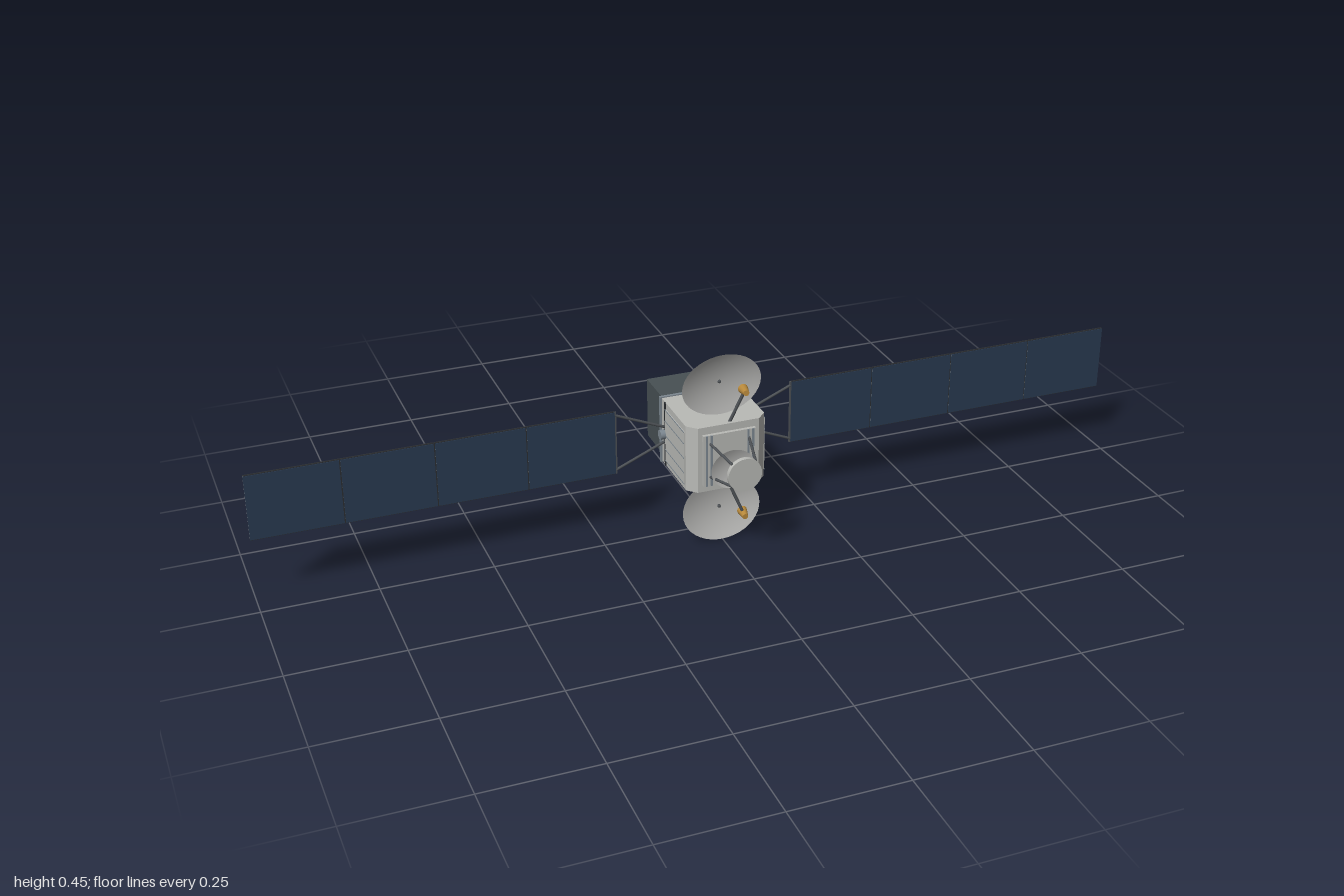
import * as THREE from 'three';

const CY = 0.225; // height of the long axis

function mat(name, color, side = THREE.FrontSide) {
  const m = new THREE.MeshStandardMaterial({ color, side });
  m.name = name;
  return m;
}

export function createModel() {
  const M = {
    hull: mat('hull grey', 0xb9bab6),
    dish: mat('dish grey', 0xb4b4b2, THREE.DoubleSide),
    dark: mat('dark insulation', 0x475053),
    strut: mat('strut grey', 0x4c5054),
    steel: mat('blue steel', 0x7c8790, THREE.DoubleSide),
    cell: mat('solar cell navy', 0x293a50),
    back: mat('panel back grey', 0x747c84),
    seam: mat('seam dark', 0x2a2d30),
    gold: mat('gold', 0xb98a3c),
  };
  const root = new THREE.Group();
  root.name = 'satellite';

  const add = (name, geo, m, x = 0, y = 0, z = 0, parent = root) => {
    const mesh = new THREE.Mesh(geo, m);
    mesh.name = name;
    mesh.position.set(x, y, z);
    parent.add(mesh);
    return mesh;
  };
  const box = (name, m, w, h, d, x, y, z, parent) =>
    add(name, new THREE.BoxGeometry(w, h, d), m, x, y, z, parent);
  // Round bar between two points; r2 is the radius at the second point
  const bar = (name, m, a, b, r = 0.003, r2 = r, parent = root) => {
    const A = new THREE.Vector3(...a), B = new THREE.Vector3(...b);
    const dir = B.clone().sub(A);
    const mesh = add(name, new THREE.CylinderGeometry(r2, r, dir.length(), 12), m, 0, 0, 0, parent);
    mesh.position.copy(A).add(B).multiplyScalar(0.5);
    mesh.quaternion.setFromUnitVectors(new THREE.Vector3(0, 1, 0), dir.normalize());
    return mesh;
  };
  // Shallow oval bowl opening towards +z
  const bowl = (name, rx, ry, depth, x, y, z, tilt) => {
    const pts = [];
    for (let i = 0; i <= 8; i++) pts.push(new THREE.Vector2(i / 8, depth * (i / 8) ** 2));
    const geo = new THREE.LatheGeometry(pts, 40);
    geo.rotateX(Math.PI / 2);
    geo.scale(rx, ry, 1);
    geo.computeVertexNormals();
    add(name, geo, M.dish, x, y, z).rotation.x = tilt;
  };

  // Main body with bevelled front corners, seen from above as an outline
  const outline = new THREE.Shape([
    [-0.09, 0.068], [0.09, 0.068], [0.09, -0.08], [0.07, -0.1], [-0.07, -0.1], [-0.09, -0.08],
  ].map(p => new THREE.Vector2(...p)));
  const hull = new THREE.ExtrudeGeometry(outline, { depth: 0.154, bevelEnabled: false });
  hull.rotateX(-Math.PI / 2);
  hull.scale(1, 1, 1);
  hull.computeBoundingBox();
  // The outline is drawn with -y towards the front, so the rotation puts it at +z
  add('body', hull, M.hull, 0, CY - 0.077, 0);
  box('frontPlate', M.hull, 0.12, 0.12, 0.008, 0, CY, 0.104);
  box('rearFlange', M.steel, 0.188, 0.159, 0.007, 0, CY, -0.069);
  box('rearModule', M.dark, 0.166, 0.14, 0.109, 0, CY, -0.127);

  // Raised side panels with thin grooves, and the dark belt behind them
  for (const s of [-1, 1]) {
    box('sidePanel', M.hull, 0.004, 0.123, 0.116, s * 0.091, CY, 0.019);
    for (const y of [-0.062, -0.035, 0, 0.035, 0.062])
      box('sideGroove', M.steel, 0.001, 0.002, 0.116, s * 0.0932, CY + y, 0.019);
    box('sideBelt', M.seam, 0.003, 0.154, 0.004, s * 0.091, CY, -0.043);
    box('frontRail', M.steel, 0.004, 0.12, 0.003, s * 0.042, CY, 0.109);
    box('frontRail', M.steel, 0.004, 0.12, 0.003, s * 0.053, CY, 0.109);
  }

  // Rear adapter ring and engine bell
  const ring = (name, m, pts) => {
    const geo = new THREE.LatheGeometry(pts.map(p => new THREE.Vector2(...p)), 40);
    geo.rotateX(-Math.PI / 2);
    add(name, geo.toNonIndexed(), m, 0, CY, -0.18).geometry.computeVertexNormals();
  };
  ring('adapterRing', M.steel, [[0.06, 0], [0.06, 0.015], [0.046, 0.015], [0.046, 0]]);
  ring('engineFloor', M.dark, [[0.046, 0.003], [0, 0.003]]);
  ring('engineBell', M.steel, [[0.014, 0.002], [0.026, 0.007], [0.034, 0.013], [0.031, 0.013], [0.01, 0.003]]);

  // Solar wings
  const PZ = -0.044, X0 = 0.205, SEG = 0.19875, H = 0.15;
  for (const s of [-1, 1]) {
    const wing = new THREE.Group();
    wing.name = s > 0 ? 'leftWing' : 'rightWing';
    root.add(wing);
    for (let i = 0; i < 4; i++) {
      const x = s * (X0 + SEG * (i + 0.5));
      box('panelBoard', M.back, SEG - 0.003, H, 0.003, x, CY, PZ - 0.001, wing);
      box('solarCells', M.cell, SEG - 0.003, H - 0.002, 0.002, x, CY, PZ + 0.0015, wing);
      for (const v of [-1, 1]) {
        box('panelEdge', M.seam, SEG - 0.003, 0.002, 0.004, x, CY + v * 0.0745, PZ - 0.001, wing);
        for (let k = 0; k < 9; k++)
          box('backDash', M.seam, 0.011, 0.0015, 0.001,
            x + (k - 4) * 0.021, CY + v * 0.058, PZ - 0.0027, wing);
      }
      if (i) box('hingeSeam', M.seam, 0.004, H, 0.003, s * (X0 + SEG * i), CY, PZ - 0.0015, wing);
    }
    // Hub and yoke
    const hub = add('wingHub', new THREE.CylinderGeometry(0.011, 0.011, 0.016, 24), M.steel, s * 0.096, CY, PZ, wing);
    hub.rotation.z = Math.PI / 2;
    for (const v of [-1, 1])
      bar('yokeArm', M.strut, [s * 0.088, CY + v * 0.016, PZ], [s * X0, CY + v * 0.066, PZ], 0.003, 0.003, wing);
    box('yokeBar', M.strut, 0.004, H, 0.004, s * X0, CY, PZ, wing);
  }

  // Upper and lower dishes with their braces and feed horns
  for (const v of [-1, 1]) {
    const Y = d => CY + v * d;
    bowl('mainDish', 0.09, 0.073, 0.015, 0, Y(0.1515), 0.045, v * 0.1);
    for (const s of [-1, 1])
      bar('dishBrace', M.strut, [0, Y(0.152), 0.045], [s * 0.03, Y(0.075), -0.006], 0.0025);
    add('dishBoss', new THREE.SphereGeometry(0.004, 12, 8), M.strut, 0, Y(0.1515), 0.046);
    bar('feedArm', M.strut, [0.006, Y(0.075), 0.09], [0.035, Y(0.147), 0.101], 0.0035);
    bar('feedHorn', M.gold, [0.037, Y(0.147), 0.088], [0.034, Y(0.149), 0.115], 0.011, 0.0065);
  }

  // Small front dish
  bowl('smallDish', 0.05, 0.044, 0.009, 0, 0.206, 0.119, -0.06);
  bar('smallDishMount', M.strut, [0, 0.206, 0.12], [0.02, 0.2, 0.105], 0.0025);
  bar('smallDishMount', M.strut, [0, 0.206, 0.12], [-0.02, 0.2, 0.105], 0.0025);
  bar('smallFeedArm', M.strut, [0.01, 0.178, 0.105], [0.03, 0.204, 0.153], 0.0022);
  bar('smallFeedHorn', M.gold, [0.03, 0.205, 0.145], [0.028, 0.207, 0.161], 0.0055, 0.0035);

  // Front drum on four legs
  const drum = add('frontDrum', new THREE.CylinderGeometry(0.038, 0.038, 0.01, 32), M.hull, 0, CY, 0.19);
  drum.rotation.x = Math.PI / 2;
  for (const s of [-1, 1])
    for (const v of [-1, 1])
      bar('drumLeg', M.strut, [s * 0.045, CY + v * 0.04, 0.104], [s * 0.026, CY + v * 0.026, 0.188], 0.003);

  return root;
}
